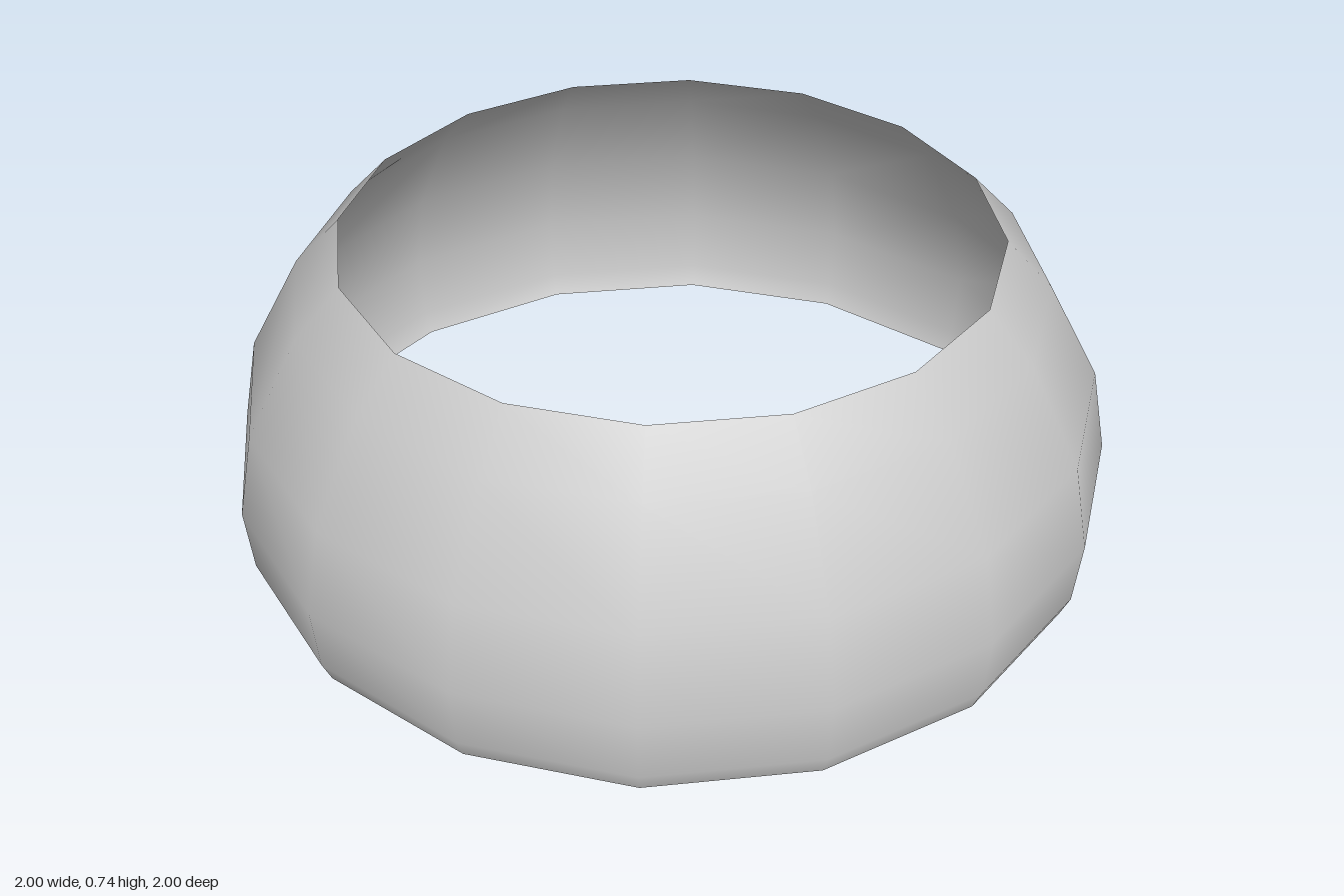
import * as THREE from 'three';

export function createModel() {
  const group = new THREE.Group();
  group.name = 'ring';

  // Rounded wall profile (radius, height), from the bottom rim to the top rim
  const profile = [
    [0.963, 0], [0.985, 0.05], [1, 0.2], [0.962, 0.4], [0.842, 0.625], [0.737, 0.737],
  ].map(([r, y]) => new THREE.Vector2(r, y));

  // Thin open band with 16 smooth-shaded sides
  const band = new THREE.Mesh(
    new THREE.LatheGeometry(profile, 16),
    new THREE.MeshStandardMaterial({ color: 0xcccccc, side: THREE.DoubleSide }),
  );
  band.name = 'band';
  group.add(band);

  return group;
}
